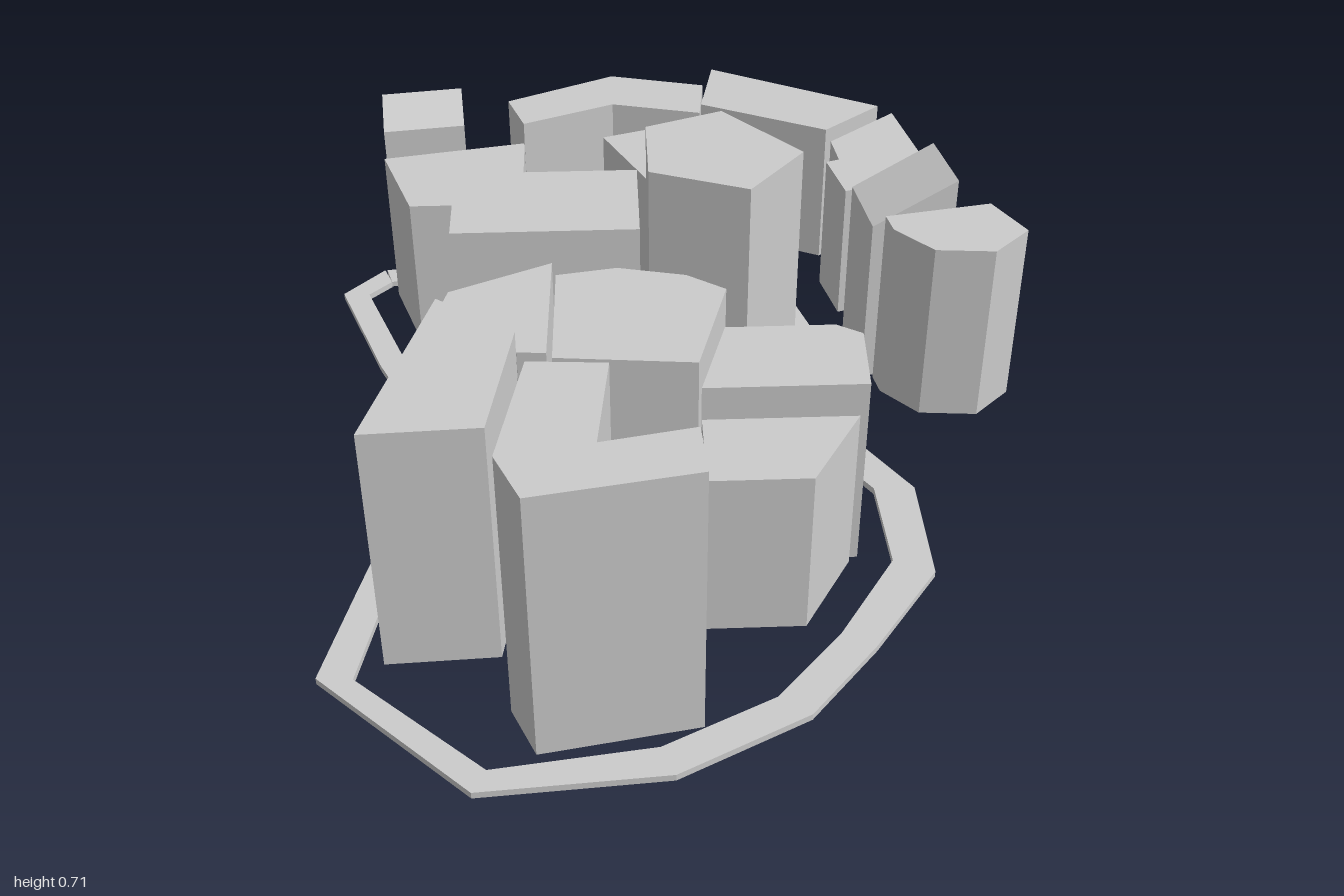
import * as THREE from 'three';

const BASE = 0.145; // ground level of the blocks, also the top of the paths

// Upright prism over a plan outline of [x, z] corners.
// top is a height, or a function (x, z) giving a sloping roof.
function prism(name, plan, top, bottom = BASE) {
  const shape = new THREE.Shape(plan.map(([x, z]) => new THREE.Vector2(x, -z)));
  let geo = new THREE.ExtrudeGeometry(shape, { depth: 1, bevelEnabled: false });
  geo.rotateX(-Math.PI / 2);
  const p = geo.attributes.position;
  for (let i = 0; i < p.count; i++) {
    const roof = typeof top === 'function' ? top(p.getX(i), p.getZ(i)) : top;
    p.setY(i, p.getY(i) > 0.5 ? roof : bottom);
  }
  geo.computeVertexNormals();
  const mesh = new THREE.Mesh(geo, new THREE.MeshStandardMaterial({ color: 0xcccccc, flatShading: true }));
  mesh.name = name;
  return mesh;
}

function cluster(name, ...parts) {
  const g = new THREE.Group();
  g.name = name;
  g.add(...parts);
  return g;
}

export function createModel() {
  const model = new THREE.Group();
  model.name = 'cityBlocks';

  // Blocks inside the front loop
  model.add(cluster('frontBlocks',
    prism('tallWestBlock', [[-0.45, 0.30], [-0.30, 0.41], [-0.345, 0.68], [-0.565, 0.69]], 0.705),
    // L-shaped block that reaches down to the lowest level
    prism('deepFrontBlock', [[-0.285, 0.42], [-0.13, 0.43], [-0.155, 0.655], [0.027, 0.62],
      [0.035, 0.74], [-0.285, 0.795], [-0.335, 0.685]], 0.645, 0),
    prism('courtBlock', [[-0.13, 0.43], [0.027, 0.445], [0.027, 0.62], [-0.155, 0.655]], 0.455),
    prism('eastBlock', [[0.095, 0.25], [0.31, 0.25], [0.36, 0.28], [0.355, 0.437], [0.04, 0.437]], 0.585),
    prism('southEastBlock', [[0.04, 0.45], [0.337, 0.45], [0.235, 0.623], [0.04, 0.623]], 0.52),
    prism('northBlock', [[-0.23, 0.14], [-0.11, 0.12], [0.025, 0.15], [0.10, 0.20],
      [0.035, 0.43], [-0.235, 0.405]], 0.64),
    prism('northWestBlock', [[-0.435, 0.21], [-0.237, 0.12], [-0.245, 0.41], [-0.30, 0.405],
      [-0.455, 0.285]], 0.655)));

  // Blocks inside the rear loop
  model.add(cluster('rearBlocks',
    prism('rearWestBlock', [[-0.625, -0.505], [-0.31, -0.56], [-0.31, -0.305], [-0.555, -0.305]], 0.52),
    prism('lowBlock', [[-0.295, -0.56], [-0.18, -0.625], [-0.125, -0.50], [-0.295, -0.45]], 0.38),
    prism('rearEastBlock', [[-0.13, -0.545], [0.05, -0.60], [0.115, -0.57], [0.115, -0.365],
      [-0.015, -0.32]], 0.54),
    prism('wideBlock', [[-0.45, -0.29], [-0.06, -0.29], [-0.06, -0.06], [-0.45, -0.06]], 0.61),
    prism('tallestBlock', [[-0.04, -0.30], [0.125, -0.36], [0.285, -0.185], [0.165, -0.045],
      [-0.04, -0.12]], 0.71)));

  // Arc of blocks around the back and east side
  model.add(cluster('outerBlocks',
    prism('arcEndBlock', [[0.46, -0.14], [0.69, -0.18], [0.75, -0.075], [0.67, 0], [0.545, -0.01],
      [0.47, -0.09]], 0.575),
    prism('slopedRoofBlock', [[0.41, -0.30], [0.585, -0.33], [0.615, -0.175], [0.435, -0.145]],
      (x, z) => 0.637 + 0.49 * (x - 0.615 - 0.19 * (z + 0.175))),
    prism('arcEastBlock', [[0.40, -0.605], [0.56, -0.73], [0.64, -0.36], [0.465, -0.32], [0.445, -0.40],
      [0.41, -0.39], [0.38, -0.515], [0.41, -0.525]], 0.48),
    prism('arcCornerBlock', [[0.14, -0.925], [0.525, -0.73], [0.39, -0.625], [0.105, -0.755]], 0.50),
    prism('arcBackBlock', [[-0.36, -0.885], [-0.105, -1], [0.12, -0.945], [0.105, -0.81],
      [-0.105, -0.86], [-0.32, -0.775]], 0.445),
    prism('detachedBlock', [[-0.66, -0.845], [-0.47, -0.86], [-0.46, -0.745], [-0.65, -0.73]],
      (x, z) => 0.495 - 0.32 * (z + 0.85))));

  // Thin paths winding around both clusters
  model.add(cluster('paths',
    prism('rearPath', [[-0.66, -0.605], [-0.33, -0.655], [-0.205, -0.707], [-0.045, -0.73], [0.255, -0.61],
      [0.382, -0.2], [0.355, 0.005], [0.30, 0], [0.325, -0.185], [0.195, -0.57], [-0.06, -0.665],
      [-0.18, -0.65], [-0.31, -0.605], [-0.645, -0.555]], BASE, 0.132),
    prism('mainPath', [
      // inner edge
      [-0.665, -0.605], [-0.755, -0.51], [-0.645, -0.225], [-0.51, 0.05], [-0.07, 0.045], [0.185, 0.10],
      [0.33, 0.11], [0.415, 0.235], [0.425, 0.45], [0.30, 0.645], [0.165, 0.80], [-0.055, 0.91],
      [-0.365, 0.95], [-0.62, 0.725], [-0.57, 0.48], [-0.505, 0.27], [-0.505, 0.12],
      // outer edge back to the start
      [-0.585, 0.125], [-0.575, 0.27], [-0.63, 0.48], [-0.69, 0.72], [-0.39, 1], [-0.03, 0.975],
      [0.225, 0.845], [0.365, 0.68], [0.505, 0.485], [0.50, 0.235], [0.35, 0.01], [0.18, 0.04],
      [-0.065, -0.015], [-0.475, -0.005], [-0.59, -0.24], [-0.695, -0.505], [-0.645, -0.555],
    ], BASE, 0.13)));

  return model;
}
